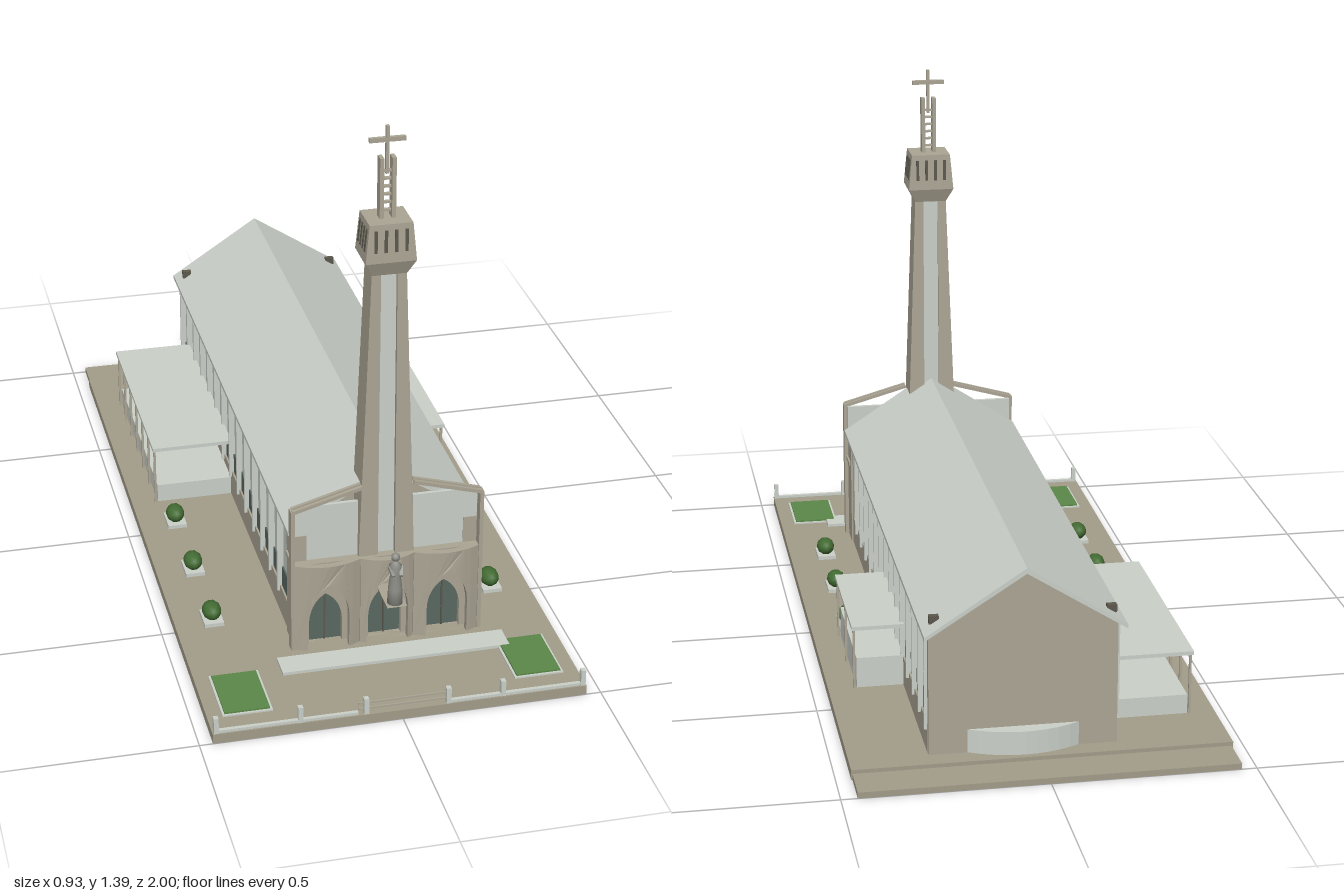
import * as THREE from 'three';

const CX = 0.04; // centre line of the church
const mat = (name, color, extra = {}) => Object.assign(new THREE.MeshStandardMaterial({ color, ...extra }), { name });

export function createModel() {
  const root = new THREE.Group();
  root.name = 'church';
  const M = {
    ground: mat('paving', 0xa39c8a),
    concrete: mat('concrete', 0xaba594),
    light: mat('pale render', 0xcbd0c9, { side: THREE.DoubleSide }),
    glass: mat('dark glass', 0x596861),
    dark: mat('shadow slot', 0x5c584d),
    lawn: mat('lawn', 0x5a8848),
    leaf: mat('foliage', 0x426b32),
    statue: mat('stone', 0x8f8f89),
  };

  const add = (name, geo, m, x = 0, y = 0, z = 0, parent = root) => {
    const mesh = new THREE.Mesh(geo, m);
    mesh.name = name;
    mesh.position.set(x, y, z);
    parent.add(mesh);
    return mesh;
  };
  // box given by its extents
  const box = (name, m, x0, x1, y0, y1, z0, z1) =>
    add(name, new THREE.BoxGeometry(x1 - x0, y1 - y0, z1 - z0), m, (x0 + x1) / 2, (y0 + y1) / 2, (z0 + z1) / 2);
  // box whose top has its own x and z extents
  const taper = (name, m, y0, y1, [ax0, ax1, az0, az1], [bx0, bx1, bz0, bz1]) => {
    const g = new THREE.BoxGeometry(1, 1, 1);
    const p = g.attributes.position;
    for (let i = 0; i < p.count; i++) {
      const up = p.getY(i) > 0, r = p.getX(i) > 0, f = p.getZ(i) > 0;
      p.setXYZ(i, up ? (r ? bx1 : bx0) : (r ? ax1 : ax0), up ? y1 : y0, up ? (f ? bz1 : bz0) : (f ? az1 : az0));
    }
    g.computeVertexNormals();
    return add(name, g, m);
  };
  // square bar between two points
  const bar = (name, m, a, b, t) => {
    const A = new THREE.Vector3(...a), B = new THREE.Vector3(...b);
    const mesh = add(name, new THREE.BoxGeometry(t, t, A.distanceTo(B)), m);
    mesh.position.copy(A).add(B).multiplyScalar(0.5);
    mesh.lookAt(B);
    return mesh;
  };
  const poly = (pts) => new THREE.Shape(pts.map(([x, y]) => new THREE.Vector2(x, y)));
  const extrude = (shape, depth) => new THREE.ExtrudeGeometry(shape, { depth, bevelEnabled: false, curveSegments: 10 });

  // Ground
  box('groundSlab', M.ground, -0.467, 0.463, 0, 0.025, -0.9, 1);
  box('rearGround', M.ground, -0.463, 0.46, 0, 0.015, -1, -0.9);
  box('entranceStep', M.light, -0.25, 0.33, 0.025, 0.033, 0.72, 0.79);

  // Nave: core, gables and roof
  box('naveCore', M.light, CX - 0.222, CX + 0.222, 0.025, 0.338, -0.83, 0.6);
  const gable = poly([[-0.23, 0.025], [0.23, 0.025], [0.23, 0.342], [0, 0.49], [-0.23, 0.342]]);
  add('rearGable', extrude(gable, 0.02), M.concrete, CX, 0, -0.85);
  add('frontGable', extrude(gable, 0.02), M.concrete, CX, 0, 0.58);
  const roof = poly([[-0.245, 0.335], [0, 0.491], [0.245, 0.335], [0.245, 0.345], [0, 0.505], [-0.245, 0.345]]);
  add('roof', extrude(roof, 1.54), M.light, CX, 0, -0.89);
  for (const s of [-1, 1]) box('loudspeaker', M.dark, CX + s * 0.215 - 0.012, CX + s * 0.215 + 0.012, 0.36, 0.38, -0.845, -0.83);

  // Side walls: plinth, window band and fins
  const bays = 14, z0 = 0.592, pitch = 0.1015;
  for (const s of [-1, 1]) {
    const side = (name, m, a, b, y0, y1, za, zb) =>
      box(name, m, Math.min(CX + s * a, CX + s * b), Math.max(CX + s * a, CX + s * b), y0, y1, za, zb);
    side('plinth', M.concrete, 0.21, 0.231, 0.025, 0.1, -0.84, 0.6);
    side('porchSide', M.concrete, 0.2, 0.235, 0.025, 0.335, 0.592, 0.66);
    for (let i = 0; i < bays; i++) {
      const z = z0 - i * pitch;
      side('window', M.glass, 0.215, 0.226, 0.1, 0.156, z - pitch + 0.006, z - 0.006);
      side('fin', M.light, 0.215, 0.238, 0.085, 0.338, z - pitch - 0.004, z - pitch + 0.004);
    }
  }

  // Curved bench on the rear wall
  const bench = new THREE.Shape();
  bench.moveTo(-0.14, 0);
  bench.quadraticCurveTo(0, 0.075, 0.14, 0);
  const benchMesh = add('rearApse', extrude(bench, 0.06), M.light, CX, 0.085, -0.848);
  benchMesh.rotation.x = -Math.PI / 2;
  benchMesh.position.y = 0.025;

  // Pointed arch outline
  const arch = (path, w, spring, top) => {
    path.moveTo(-w, 0.025);
    path.lineTo(w, 0.025);
    path.lineTo(w, spring);
    path.quadraticCurveTo(w * 0.9, (spring + top) / 2 + 0.015, 0, top);
    path.quadraticCurveTo(-w * 0.9, (spring + top) / 2 + 0.015, -w, spring);
    path.closePath();
    return path;
  };
  // Three bowed porch bays with recessed doors
  for (const [x, w] of [[-0.112, 0.083], [CX, 0.068], [0.192, 0.083]]) {
    const g0 = 0.0251;
    const panel = poly([[-w, g0 - 0.01]]);
    for (let i = 1; i <= 8; i++) panel.lineTo(-w + (2 * w * i) / 8, g0 - 0.01);
    for (let i = 8; i >= 0; i--) panel.lineTo(-w + (2 * w * i) / 8, 0.265);
    panel.holes.push(arch(new THREE.Path(), 0.053, 0.12, 0.213));
    const g = extrude(panel, 0.018);
    const p = g.attributes.position;
    for (let i = 0; i < p.count; i++) p.setZ(i, p.getZ(i) + 0.022 * (1 - (p.getX(i) / w) ** 2));
    g.computeVertexNormals();
    add('porchArch', g, M.concrete, x, 0, 0.664);
    const inner = poly([[-w, 0.02], [w, 0.02], [w, 0.26], [-w, 0.26]]);
    inner.holes.push(arch(new THREE.Path(), 0.042, 0.09, 0.165));
    add('doorSurround', extrude(inner, 0.02), M.concrete, x, 0, 0.642);
    box('door', M.glass, x - 0.05, x + 0.05, 0.025, 0.17, 0.635, 0.646);
    box('doorPost', M.dark, x - 0.002, x + 0.002, 0.025, 0.16, 0.645, 0.65);
  }
  box('porchTop', M.concrete, -0.2, 0.28, 0.255, 0.265, 0.6, 0.68);

  // Upper front panels, frame posts and sloping beams
  for (const s of [-1, 1]) {
    const a = CX + s * 0.07, b = CX + s * 0.235, e = CX + s * 0.24;
    box('frontPanel', M.light, Math.min(a, b), Math.max(a, b), 0.265, 0.415, 0.648, 0.658);
    box('framePost', M.concrete, e - 0.005, e + 0.005, 0.025, 0.418, 0.66, 0.685);
    for (const z of [0.663, 0.68]) bar('slopingBeam', M.concrete, [e, 0.416, z], [CX + s * 0.065, 0.465, z], 0.009);
  }

  // Tower: pale core between tapering concrete piers
  const zf = 0.668, zb = 0.59;
  taper('towerCore', M.light, 0.255, 1.03, [CX - 0.03, CX + 0.03, 0.598, 0.658], [CX - 0.026, CX + 0.026, 0.6, 0.655]);
  for (const s of [-1, 1]) {
    const span = (i, o, b, f) => [Math.min(CX + s * i, CX + s * o), Math.max(CX + s * i, CX + s * o), b, f];
    taper('towerPier', M.concrete, 0.255, 1.03, span(0.022, 0.071, zb - 0.003, zf + 0.004), span(0.02, 0.043, zb + 0.004, zf - 0.004));
  }

  // Belfry
  const belly = [CX - 0.0625, CX + 0.0625, 0.578, 0.681];
  taper('belfryFlare', M.concrete, 1.025, 1.062, [CX - 0.043, CX + 0.043, 0.592, 0.666], belly);
  taper('belfry', M.concrete, 1.062, 1.16, belly, [CX - 0.053, CX + 0.053, 0.581, 0.678]);
  for (let i = 0; i < 4; i++) {
    const t = i - 1.5, x = CX + t * 0.025, z = 0.63 + t * 0.021;
    box('belfrySlot', M.dark, x - 0.004, x + 0.004, 1.088, 1.145, 0.6765, 0.6806);
    box('belfrySlot', M.dark, x - 0.004, x + 0.004, 1.088, 1.145, 0.5785, 0.5825);
    for (const s of [-1, 1]) {
      const slot = add('belfrySlot', new THREE.BoxGeometry(0.004, 0.057, 0.008), M.dark, CX + s * 0.0573, 1.117, z);
      slot.rotation.z = s * 0.097;
    }
  }

  // Ladder mast and cross
  for (const s of [-1, 1]) box('mastPost', M.concrete, CX + s * 0.015 - 0.005, CX + s * 0.015 + 0.005, 1.16, 1.312, 0.617, 0.643);
  for (let i = 0; i < 6; i++) box('mastRung', M.concrete, CX - 0.011, CX + 0.011, 1.175 + i * 0.02, 1.18 + i * 0.02, 0.625, 0.635);
  box('crossUpright', M.concrete, CX - 0.004, CX + 0.004, 1.27, 1.39, 0.625, 0.635);
  box('crossArm', M.concrete, CX - 0.044, CX + 0.044, 1.35, 1.361, 0.625, 0.635);

  // Statue on a bracket
  taper('statueBracket', M.concrete, 0.145, 0.178, [CX - 0.014, CX + 0.014, 0.67, 0.725], [CX - 0.025, CX + 0.025, 0.67, 0.785]);
  const robe = [[0, 0], [0.02, 0], [0.018, 0.04], [0.013, 0.08], [0.016, 0.105], [0.006, 0.117], [0, 0.118]];
  add('statueRobe', new THREE.LatheGeometry(robe.map(([r, y]) => new THREE.Vector2(r, y)), 12), M.statue, CX, 0.178, 0.76);
  add('statueHead', new THREE.SphereGeometry(0.011, 10, 8), M.statue, CX, 0.306, 0.76);
  for (const s of [-1, 1]) bar('statueArm', M.statue, [CX + s * 0.015, 0.28, 0.76], [CX + s * 0.01, 0.262, 0.778], 0.008);

  // Side pavilions: thin roof on posts over a low block
  const pavilion = (x0, x1, za, zb, top, outer, n) => {
    box('pavilionRoof', M.light, x0, x1, 0.184, 0.194, za, zb);
    const inset = outer * 0.012, xo = outer > 0 ? x1 : x0;
    box('pavilionBlock', M.light, x0 + (outer < 0 ? 0.012 : 0), x1 - (outer > 0 ? 0.012 : 0), 0.025, top, za + 0.01, zb - 0.01);
    for (let i = 0; i < n; i++) {
      const z = za + 0.012 + ((zb - za - 0.024) * i) / (n - 1);
      box('pavilionPost', M.concrete, xo - inset / 2 - 0.003, xo - inset / 2 + 0.003, 0.025, 0.185, z - 0.003, z + 0.003);
    }
  };
  pavilion(-0.408, -0.19, -0.73, -0.12, 0.075, -1, 7);
  pavilion(0.27, 0.402, -0.44, -0.08, 0.105, 1, 3);

  // Shrubs in planters
  for (const x of [-0.37, 0.363]) for (const z of [-0.01, 0.245, 0.497]) {
    box('planter', M.light, x - 0.025, x + 0.025, 0.025, 0.035, z - 0.037, z + 0.037);
    const shrub = add('shrub', new THREE.IcosahedronGeometry(1, 1), M.leaf, x, 0.053, z);
    shrub.scale.set(0.025, 0.023, 0.035);
  }

  // Lawns with kerbs
  for (const x of [-0.368, 0.363]) {
    box('lawnKerb', M.light, x - 0.062, x + 0.062, 0.025, 0.029, 0.757, 0.933);
    box('lawn', M.lawn, x - 0.056, x + 0.056, 0.026, 0.033, 0.763, 0.927);
  }

  // Front boundary: posts, kerbs and a railed centre
  for (const x of [-0.458, -0.252, -0.09, 0.115, 0.252, 0.455])
    box('boundaryPost', M.light, x - 0.006, x + 0.006, 0.025, 0.067, 0.984, 0.998);
  for (const [a, b] of [[-0.46, -0.11], [0.115, 0.458]]) box('boundaryKerb', M.light, a, b, 0.025, 0.032, 0.986, 0.996);
  for (const y of [0.036, 0.052]) box('centreRail', M.concrete, -0.11, 0.115, y, y + 0.004, 0.989, 0.993);

  return root;
}
